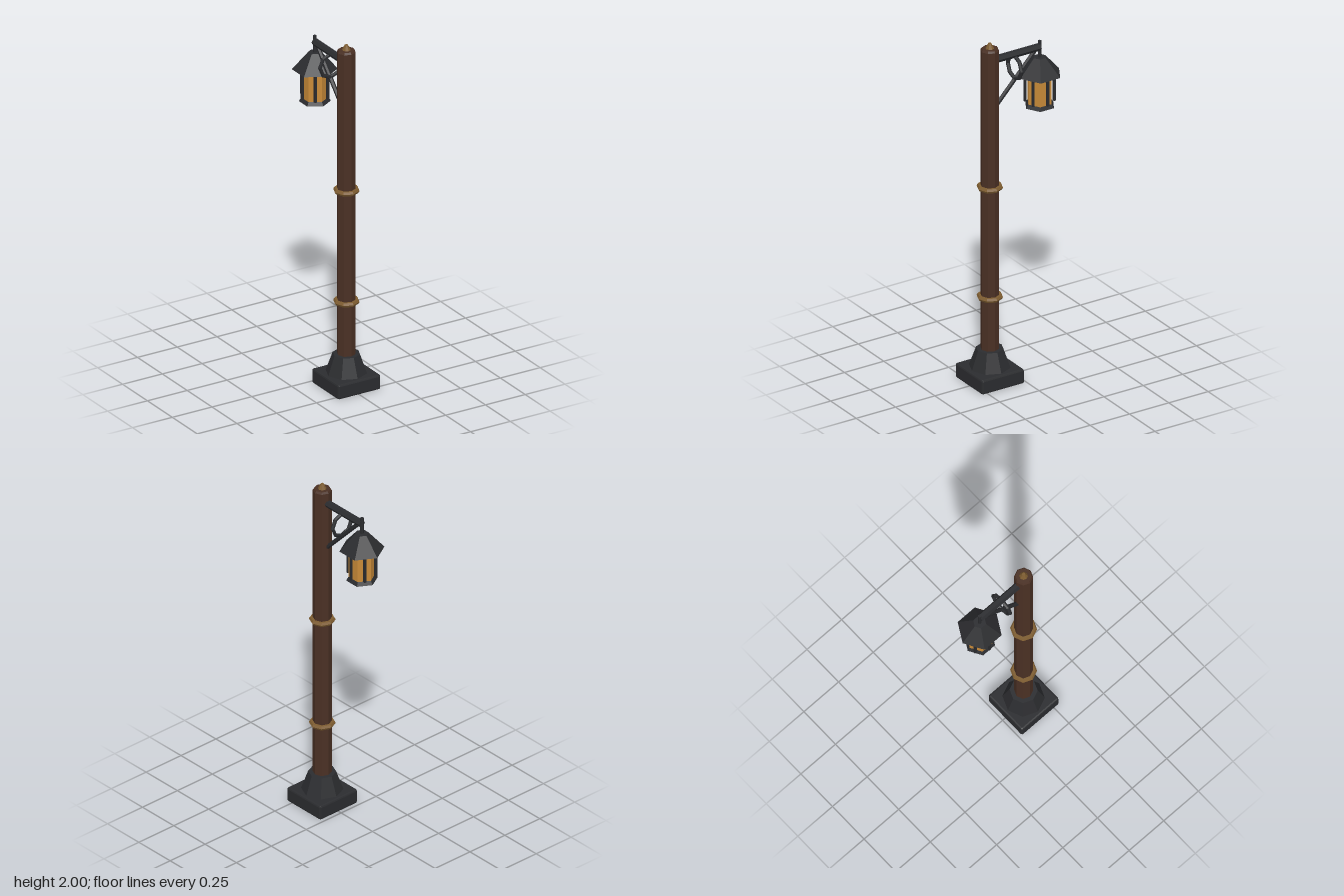
import * as THREE from 'three';
import { RoundedBoxGeometry } from 'three/addons/geometries/RoundedBoxGeometry.js';

const material = (color) => new THREE.MeshStandardMaterial({ color, flatShading: true });
const POST_Z = 0.151;
const LAMP_Z = -0.166;

export function createModel() {
  const model = new THREE.Group();
  const iron = material(0x2b2c2f);
  const wood = material(0x4a3024);
  const brass = material(0x7d5c30);
  const glass = material(0xc88a38);

  const add = (name, geometry, mat, x, y, z) => {
    const mesh = new THREE.Mesh(geometry, mat);
    mesh.name = name;
    mesh.position.set(x, y, z);
    model.add(mesh);
    return mesh;
  };

  // Upright faceted piece between two heights
  const column = (name, mat, rTop, rBottom, y0, y1, sides, x, z) =>
    add(name, new THREE.CylinderGeometry(rTop, rBottom, y1 - y0, sides), mat, x, (y0 + y1) / 2, z);

  // Rod between two points in the plane x = 0, given as [y, z]
  const rod = (name, radius, sides, [y0, z0], [y1, z1], turn = 0) => {
    const a = new THREE.Vector3(0, y0, z0);
    const b = new THREE.Vector3(0, y1, z1);
    const dir = b.clone().sub(a);
    const geometry = new THREE.CylinderGeometry(radius, radius, dir.length(), sides).rotateY(turn);
    const mid = a.add(b).multiplyScalar(0.5);
    const mesh = add(name, geometry, iron, 0, mid.y, mid.z);
    mesh.quaternion.setFromUnitVectors(new THREE.Vector3(0, 1, 0), dir.normalize());
  };

  // Foot: chamfered block and octagonal pedestal
  add('footBlock', new RoundedBoxGeometry(0.268, 0.085, 0.268, 1, 0.01), iron, 0, 0.0425, POST_Z);
  column('pedestal', iron, 0.075, 0.115, 0.08, 0.193, 8, 0, POST_Z);

  // Post with a chamfered top, finial and bands
  column('post', wood, 0.051, 0.051, 0.15, 1.96, 8, 0, POST_Z);
  column('postCap', wood, 0.044, 0.051, 1.96, 1.971, 8, 0, POST_Z);
  column('finial', brass, 0.009, 0.024, 1.97, 2.0, 8, 0, POST_Z);
  for (const y of [0.5, 1.15]) {
    add('postBand', new THREE.TorusGeometry(0.058, 0.014, 6, 8).rotateX(Math.PI / 2), brass, 0, y, POST_Z);
  }

  // Bracket: arm, diagonal strut, ring and hanger
  rod('arm', 0.021, 6, [1.895, 0.13], [1.895, LAMP_Z], Math.PI / 6);
  rod('strut', 0.012, 6, [1.61, 0.12], [1.877, -0.133]);
  add('bracketRing', new THREE.TorusGeometry(0.067, 0.011, 6, 8), iron, 0, 1.817, -0.007);
  column('hanger', iron, 0.01, 0.01, 1.82, 1.932, 6, 0, LAMP_Z);

  // Lantern: roof, panes, corner bars and flared tray
  column('lanternRoof', iron, 0.036, 0.123, 1.736, 1.836, 6, 0, LAMP_Z);
  column('lanternGlass', glass, 0.072, 0.072, 1.57, 1.74, 6, 0, LAMP_Z);
  column('lanternTray', iron, 0.064, 0.086, 1.549, 1.58, 6, 0, LAMP_Z);
  for (let i = 0; i < 6; i++) {
    const a = (i * Math.PI) / 3;
    add('lanternBar', new THREE.BoxGeometry(0.013, 0.165, 0.013), iron,
      Math.cos(a) * 0.078, 1.6575, LAMP_Z + Math.sin(a) * 0.078);
  }

  return model;
}
